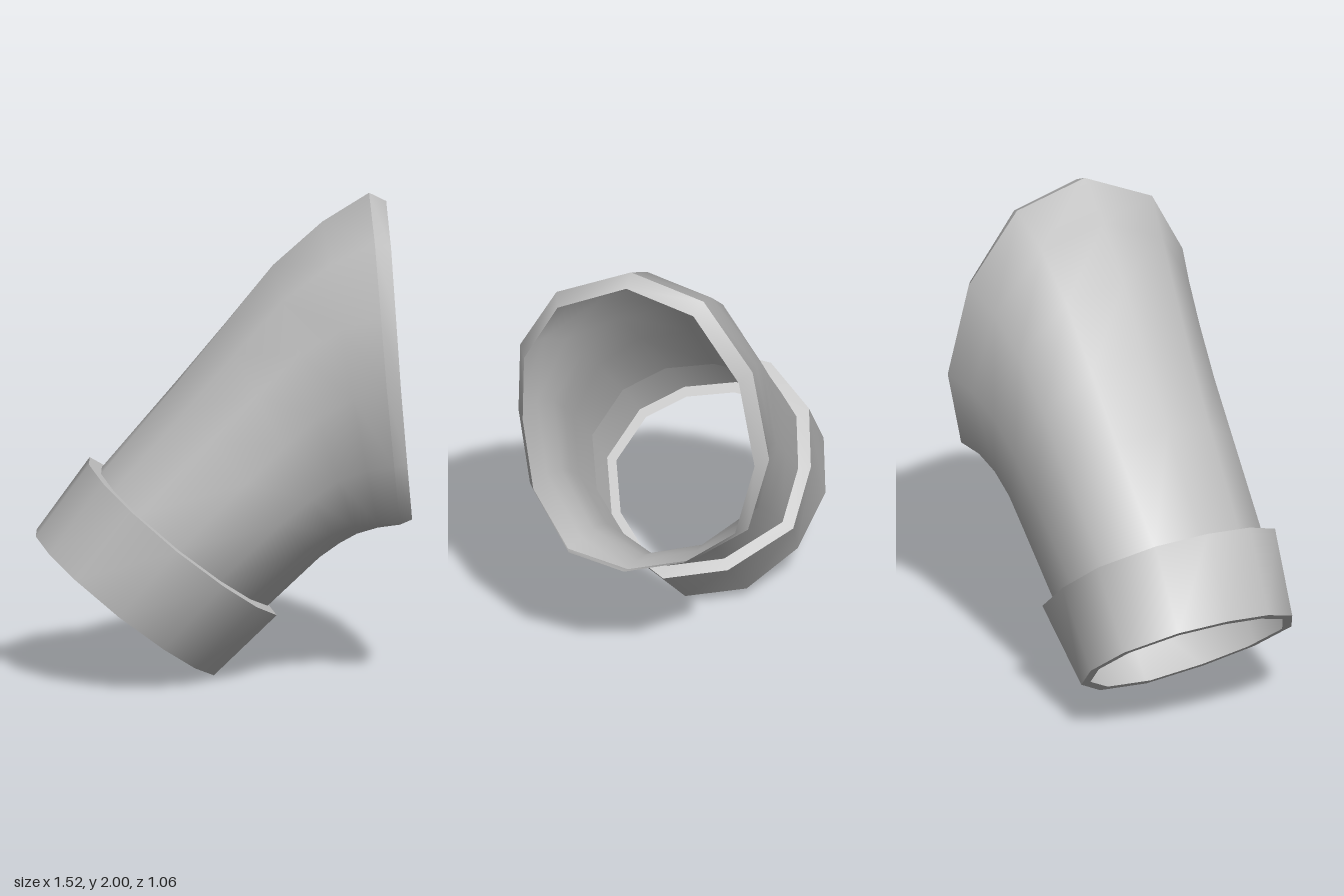
import * as THREE from 'three';

const SIDES = 12;

// Slightly uneven outlines: [along the slant, across z], from the top round the back
const SOCKET = [
  [1, 0.02], [0.96, -0.46], [0.63, -0.87], [0.14, -1], [-0.4, -0.97], [-0.84, -0.5],
  [-1, 0.03], [-0.76, 0.5], [-0.38, 0.85], [0.13, 1.01], [0.61, 0.82], [0.88, 0.47],
];
const MOUTH = [
  [1, 0.13], [0.88, -0.45], [0.45, -0.85], [-0.12, -1], [-0.61, -0.85], [-0.87, -0.42],
  [-1, 0.09], [-0.93, 0.57], [-0.54, 0.89], [-0.06, 1], [0.38, 1], [0.78, 0.72],
];
// The foot is a little narrower than the socket at one corner
const FOOT = SOCKET.map(([a, b], i) => [a, i === 4 ? -0.87 : b]);

// One cross-section: upper point and lower point in xy, half width and centre in z,
// blend from the base outline (0) to the mouth outline (1), which bows back a little
function ring(ux, uy, lx, ly, width, zc, blend, base = SOCKET) {
  return MOUTH.map(([ma, mb], i) => {
    const a = THREE.MathUtils.lerp(base[i][0], ma, blend);
    const b = THREE.MathUtils.lerp(base[i][1], mb, blend);
    return [
      (ux + lx) / 2 + (a * (ux - lx)) / 2 - 0.015 * blend * (1 - a * a),
      (uy + ly) / 2 + (a * (uy - ly)) / 2,
      zc + b * width,
    ];
  });
}

// Smooth skin through consecutive rings
function loft(name, rings, material) {
  const index = [];
  for (let r = 0; r < rings.length - 1; r++) {
    for (let i = 0; i < SIDES; i++) {
      const j = (i + 1) % SIDES;
      const a = r * SIDES + i, b = r * SIDES + j;
      index.push(a, a + SIDES, b, b, a + SIDES, b + SIDES);
    }
  }
  const geometry = new THREE.BufferGeometry();
  geometry.setAttribute('position', new THREE.Float32BufferAttribute(rings.flat(2), 3));
  geometry.setIndex(index);
  geometry.computeVertexNormals();
  const mesh = new THREE.Mesh(geometry, material);
  mesh.name = name;
  return mesh;
}

export function createModel() {
  const grey = new THREE.MeshStandardMaterial({ color: 0xc0c0c0, side: THREE.DoubleSide });
  grey.name = 'pipe grey';

  const footInner = ring(-0.73, 0.552, -0.075, 0.028, 0.42, 0.01, 0, FOOT);
  const collarBottom = ring(-0.765, 0.58, -0.04, 0, 0.46, 0.01, 0, FOOT);
  const collarTop = ring(-0.55, 0.88, 0.215, 0.25, 0.484, 0.028, 0);
  const neck = ring(-0.5, 0.84, 0.178, 0.289, 0.434, 0.028, 0);
  const mouth = ring(0.59, 2.0, 0.71, 0.62, 0.532, 0, 1);
  const lipInner = ring(0.66, 1.965, 0.76, 0.64, 0.492, 0.005, 1);

  const pipe = new THREE.Group();
  pipe.name = 'anglePipe';
  pipe.add(
    // Wide socket at the foot, its narrow underside rim and the ledge on top of it
    loft('footRim', [footInner, collarBottom], grey),
    loft('collar', [collarBottom, collarTop], grey),
    loft('collarLedge', [collarTop, neck], grey),
    // Tube flaring to the slanted mouth
    loft('tube', [
      neck,
      ring(-0.2, 1.2, 0.39, 0.487, 0.447, 0.015, 0.25),
      ring(0, 1.45, 0.473, 0.545, 0.45, 0.008, 0.45),
      ring(0.2, 1.7, 0.542, 0.582, 0.464, 0, 0.65),
      ring(0.4, 1.88, 0.627, 0.608, 0.491, 0, 0.85),
      mouth,
    ], grey),
    // Bevelled rim round the opening
    loft('mouthLip', [mouth, lipInner], grey),
  );
  return pipe;
}
